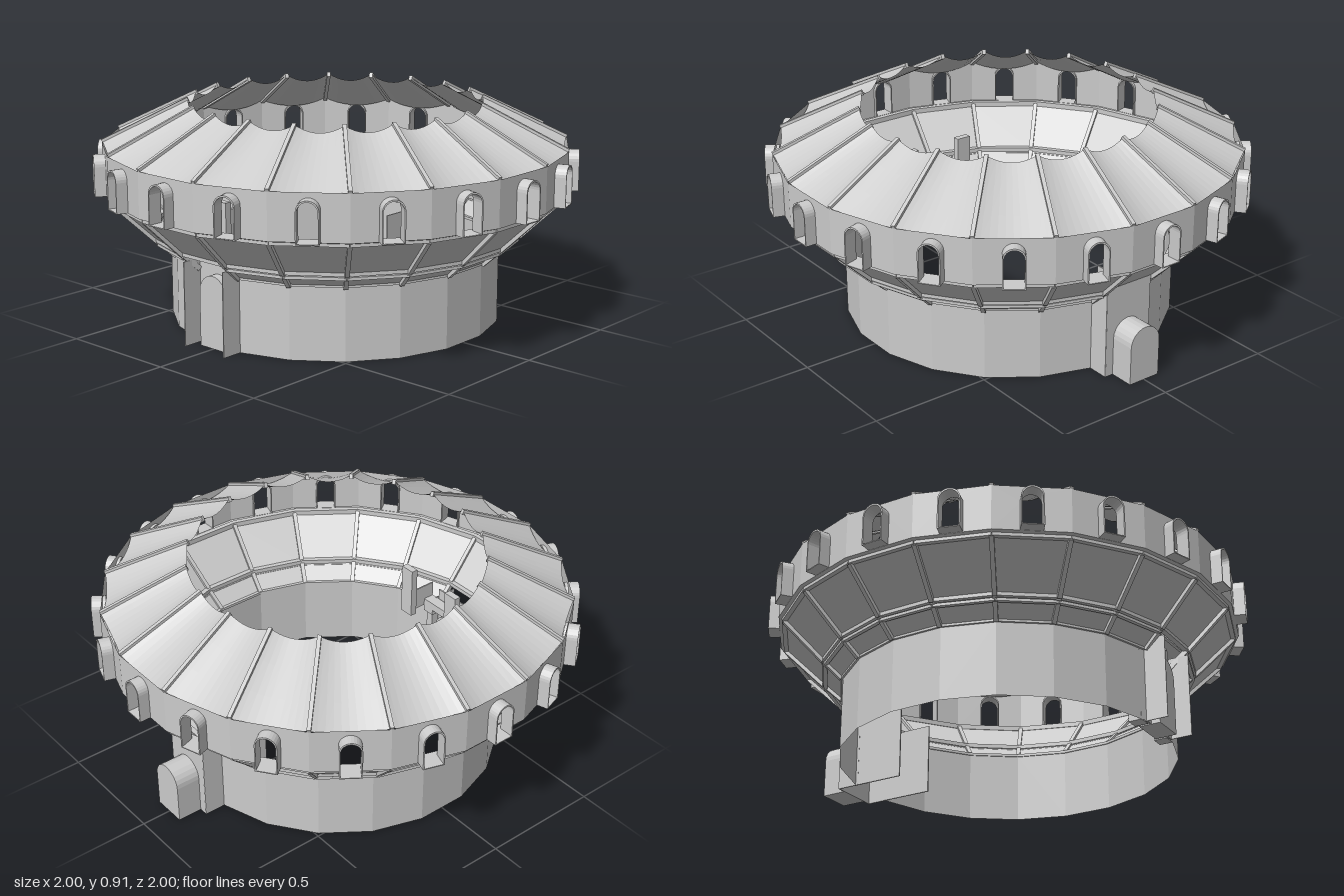
import * as THREE from 'three';

const N = 20, STEP = (Math.PI * 2) / N, HALF = STEP / 2;
const mat = new THREE.MeshStandardMaterial({ color: 0xcccccc, flatShading: true, side: THREE.DoubleSide });

// Corner k of the twenty-sided plan
const corner = (k, r, y) =>
  new THREE.Vector3(Math.sin(k * STEP + HALF) * r, y, Math.cos(k * STEP + HALF) * r);

function add(parent, name, geometry, x = 0, y = 0, z = 0) {
  const mesh = new THREE.Mesh(geometry, mat);
  mesh.name = name;
  mesh.position.set(x, y, z);
  parent.add(mesh);
  return mesh;
}

const box = (parent, name, w, h, d, x, y, z) => add(parent, name, new THREE.BoxGeometry(w, h, d), x, y, z);

// Straight beam between two points
function beam(parent, name, a, b, w, h) {
  const mid = a.clone().add(b).multiplyScalar(0.5);
  const m = box(parent, name, w, h, a.distanceTo(b), mid.x, mid.y, mid.z);
  m.lookAt(b);
}

// Open faceted band; gaps leaves out the front and back faces
function band(parent, name, r0, y0, r1, y1, gaps = false) {
  const spans = gaps ? [[HALF, 9], [HALF + 10 * STEP, 9]] : [[HALF, N]];
  for (const [start, n] of spans)
    add(parent, name, new THREE.CylinderGeometry(r1, r0, y1 - y0, n, 1, true, start, n * STEP), 0, (y0 + y1) / 2);
}

// Round-headed outline standing on y0
function arch(path, w, y0, top) {
  const spring = top - w;
  path.moveTo(-w, y0);
  path.lineTo(w, y0);
  path.lineTo(w, spring);
  path.absarc(0, spring, w, 0, Math.PI, false);
  path.lineTo(-w, y0);
  return path;
}

const extrude = (shape, depth) =>
  new THREE.ExtrudeGeometry(shape, { depth, bevelEnabled: false, curveSegments: 6 });

// Roof panel hanging between two neighbouring ribs
function roofPanel() {
  const nu = 10, nv = 3;
  const g = new THREE.PlaneGeometry(2, 1, nu, nv);
  const p = g.attributes.position;
  for (let i = 0; i < p.count; i++) {
    const u = p.getX(i), v = p.getY(i) + 0.5;
    const r = THREE.MathUtils.lerp(0.963, 0.61, v);
    const sag = 0.03 * (1 - u * u);
    p.setXYZ(i, u * r * Math.sin(HALF), THREE.MathUtils.lerp(0.735, 0.908, v) - sag,
      r * Math.cos(HALF) - sag * 0.4 * (1 - v));
  }
  g.computeVertexNormals();
  return g;
}

export function createModel() {
  const model = new THREE.Group();
  model.name = 'roundHall';

  // Base drum and flaring shells
  band(model, 'baseWall', 0.69, 0, 0.69, 0.3, true);
  band(model, 'lowerFlare', 0.69, 0.3, 0.768, 0.37, true);
  band(model, 'upperFlare', 0.768, 0.37, 0.94, 0.535);
  band(model, 'galleryLedge', 0.94, 0.535, 0.965, 0.546);

  // Framing beams on the flares
  for (let k = 0; k < N; k++) {
    const ring = (name, r, y, w, h) => beam(model, name, corner(k, r, y), corner(k + 1, r, y), w, h);
    ring('middleRing', 0.769, 0.376, 0.022, 0.018);
    ring('upperRing', 0.94, 0.538, 0.022, 0.022);
    if (k % 10 !== 9) {
      ring('lowerRing', 0.692, 0.305, 0.014, 0.012);
      ring('middleRingLower', 0.765, 0.355, 0.016, 0.012);
    }
    beam(model, 'lowerRib', corner(k, 0.695, 0.302), corner(k, 0.768, 0.368), 0.018, 0.022);
    beam(model, 'upperRib', corner(k, 0.772, 0.372), corner(k, 0.938, 0.532), 0.018, 0.026);
  }

  // Gallery: pierced wall, window surrounds and hanging roof
  const w = 0.965 * Math.sin(HALF), apothem = 0.965 * Math.cos(HALF);
  const wallShape = new THREE.Shape([
    new THREE.Vector2(-w, 0.545), new THREE.Vector2(w, 0.545),
    new THREE.Vector2(w, 0.732), new THREE.Vector2(-w, 0.732)]);
  wallShape.holes.push(arch(new THREE.Path(), 0.04, 0.55, 0.706));
  const wallGeo = new THREE.ShapeGeometry(wallShape, 6);
  const frameShape = arch(new THREE.Shape(), 0.044, 0.546, 0.712);
  frameShape.holes.push(arch(new THREE.Path(), 0.039, 0.55, 0.705));
  const frameGeo = extrude(frameShape, 0.06);
  const panelGeo = roofPanel();
  for (let k = 0; k < N; k++) {
    const bay = new THREE.Group();
    bay.name = 'galleryBay';
    bay.rotation.y = k * STEP;
    add(bay, 'galleryWall', wallGeo, 0, 0, apothem);
    add(bay, 'windowSurround', frameGeo, 0, 0, 0.94);
    add(bay, 'roofPanel', panelGeo);
    model.add(bay);
    beam(model, 'roofRib', corner(k, 0.962, 0.732), corner(k, 0.606, 0.905), 0.016, 0.022);
  }

  // Front entrance: door, wing walls, pillars and lintel
  const front = new THREE.Group();
  front.name = 'frontEntrance';
  model.add(front);
  box(front, 'entranceWall', 0.216, 0.38, 0.006, 0, 0.19, 0.68);
  add(front, 'frontDoor', extrude(arch(new THREE.Shape(), 0.072, 0, 0.298), 0.09), 0, 0, 0.63);
  box(front, 'lintel', 0.34, 0.035, 0.05, 0, 0.325, 0.64);
  for (const s of [-1, 1]) {
    box(front, 'wingWall', 0.004, 0.345, 0.11, s * 0.108, 0.1725, 0.715);
    box(front, 'pillar', 0.035, 0.31, 0.035, s * 0.11, 0.155, 0.645);
    for (const y of [0.015, 0.295]) box(front, 'pillarBlock', 0.055, 0.03, 0.055, s * 0.11, y, 0.645);
    box(front, 'bracketFlange', 0.066, 0.23, 0.03, s * 0.138, 0.425, 0.525);
    box(front, 'bracketWeb', 0.006, 0.1, 0.13, s * 0.138, 0.36, 0.6);
  }

  // Back entrance: closed porch with an arched tunnel
  const back = new THREE.Group();
  back.name = 'backEntrance';
  model.add(back);
  const porch = arch(new THREE.Shape(), 0.072, 0, 0.232);
  add(back, 'archedTunnel', extrude(porch, 0.105), 0, 0, -0.875);
  box(back, 'porchWall', 0.216, 0.372, 0.005, 0, 0.186, -0.768);
  box(back, 'porchTop', 0.216, 0.005, 0.09, 0, 0.37, -0.725);
  for (const s of [-1, 1]) {
    box(back, 'porchSide', 0.005, 0.372, 0.1, s * 0.108, 0.186, -0.72);
    box(back, 'passageWall', 0.006, 0.3, 0.23, s * 0.107, 0.15, -0.575);
  }
  return model;
}
